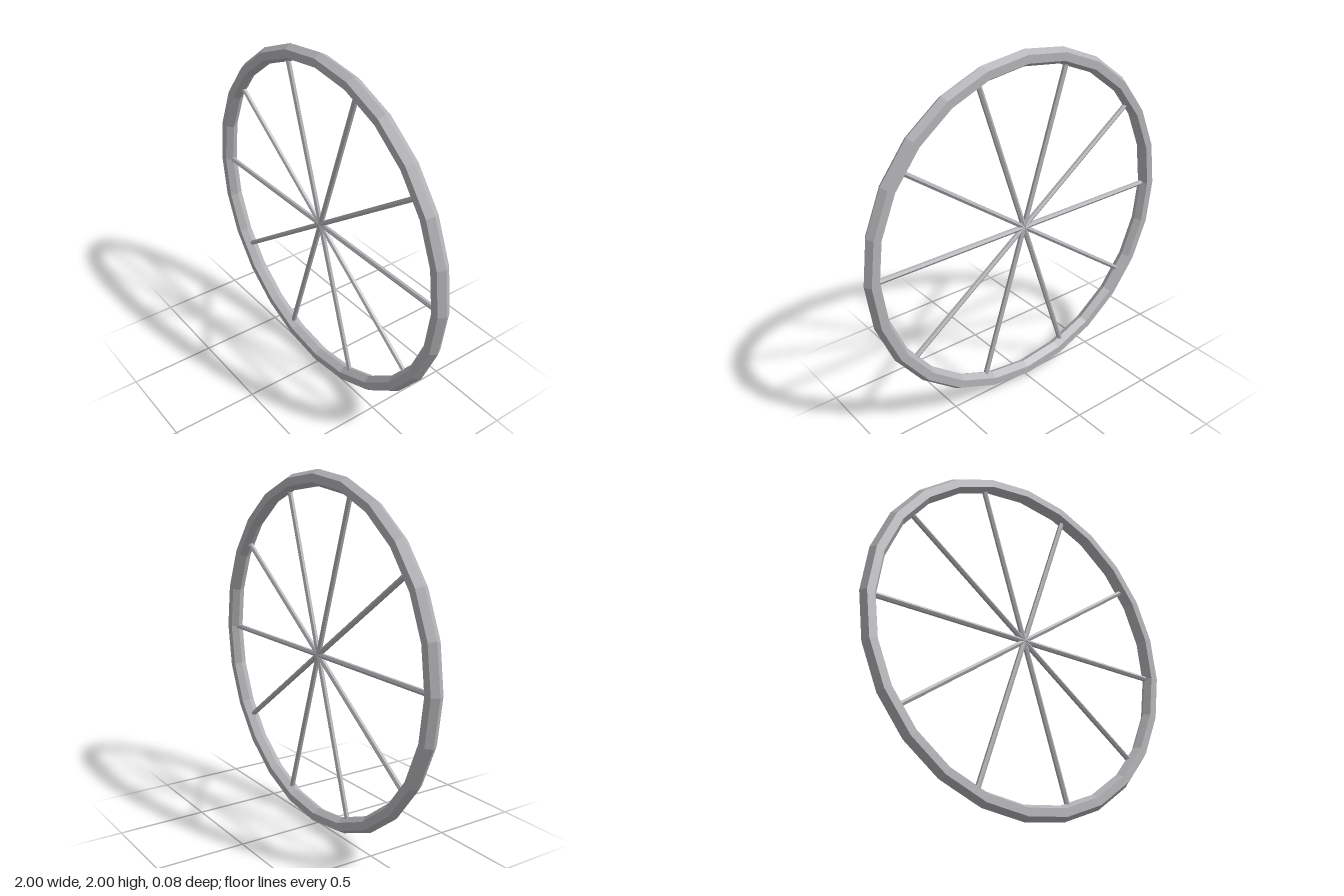
import * as THREE from 'three';

export function createModel() {
  const metal = new THREE.MeshStandardMaterial({ color: 0xb4b4b8 });
  metal.flatShading = true;

  const wheel = new THREE.Group();
  wheel.name = 'wheel';
  wheel.position.y = 1;

  // Hexagonal-section rim
  const tube = 0.045;
  const rim = new THREE.Mesh(new THREE.TorusGeometry(1 - tube, tube, 6, 24), metal);
  rim.name = 'rim';
  wheel.add(rim);

  // Five thin rods across the full diameter make ten spokes
  const rod = new THREE.CylinderGeometry(0.015, 0.015, 1.85, 6);
  for (let i = 0; i < 5; i++) {
    const spoke = new THREE.Mesh(rod, metal);
    spoke.name = `spokePair${i + 1}`;
    spoke.rotation.z = Math.PI / 2 + (i * Math.PI) / 5;
    wheel.add(spoke);
  }

  const model = new THREE.Group();
  model.name = 'spokedWheel';
  model.add(wheel);
  return model;
}
